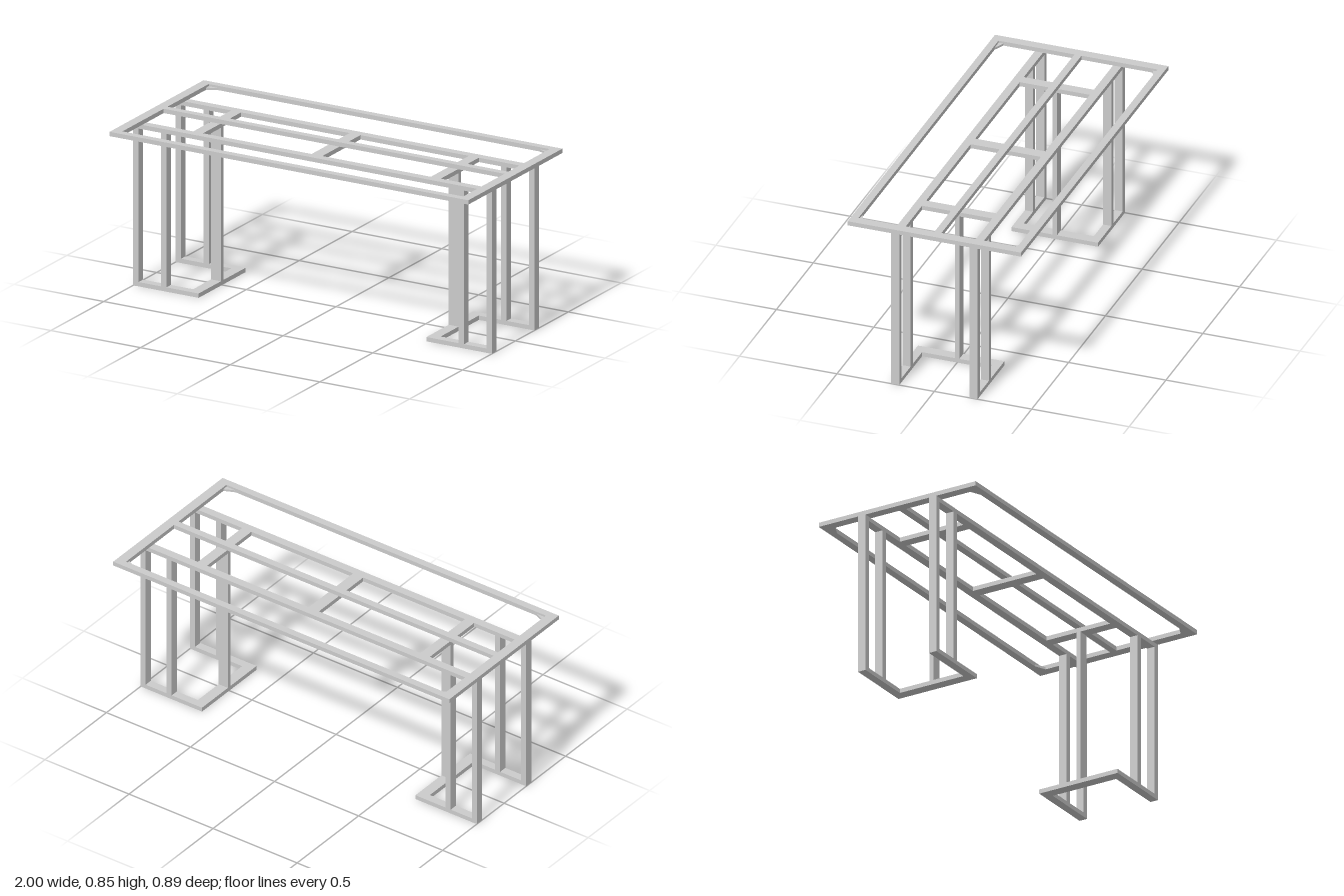
import * as THREE from 'three';

export function createModel() {
  const model = new THREE.Group();
  const material = new THREE.MeshStandardMaterial({ color: 0xcccccc, flatShading: true });

  // Bar given by its extents along each axis
  function bar(name, [x0, x1], [y0, y1], [z0, z1]) {
    const mesh = new THREE.Mesh(new THREE.BoxGeometry(x1 - x0, y1 - y0, z1 - z0), material);
    mesh.name = name;
    mesh.position.set((x0 + x1) / 2, (y0 + y1) / 2, (z0 + z1) / 2);
    model.add(mesh);
  }
  // Extents mirrored to the chosen side
  const side = (s, a, b) => (s > 0 ? [a, b] : [-b, -a]);

  const T = 0.022;               // bar thickness
  const top = [0.823, 0.845];    // table frame level
  const under = [0.801, 0.823];  // support rail level
  const foot = [0, T];

  // Middle rail of the table frame
  bar('middleRail', [-0.95, 0.95], top, [-0.018, 0.018]);
  // Central cross brace
  bar('centreBrace', [-0.03, 0.03], under, [-0.18, 0.18]);

  for (const s of [1, -1]) {
    // Outer table frame
    bar('frameEnd', side(s, 0.95, 1), top, [-0.445, 0.445]);
    bar('frameSide', [-0.95, 0.95], top, side(s, 0.408, 0.445));
    // Long support rail on the legs
    bar('supportRail', [-1, 1], under, side(s, 0.18, 0.222));

    // Inner brace, post and foot crossbar of each leg assembly
    bar('legBrace', side(s, 0.635, 0.69), under, [-0.18, 0.18]);
    bar('innerPost', side(s, 0.635, 0.69), [T, 0.801], [-0.011, 0.011]);
    bar('footCrossbar', side(s, 0.635, 0.69), foot, [-0.18, 0.18]);

    for (const t of [1, -1]) {
      const z = side(t, 0.18, 0.222);
      bar('footRail', side(s, 0.635, 1), foot, z);
      bar('outerLeg', side(s, 0.97, 1), [T, 0.801], z);
      bar('middleLeg', side(s, 0.815, 0.845), [T, 0.801], z);

      // Small gusset in each inner corner of the table frame
      const shape = new THREE.Shape([
        new THREE.Vector2(s * 0.95, -t * 0.408),
        new THREE.Vector2(s * 0.895, -t * 0.408),
        new THREE.Vector2(s * 0.95, -t * 0.383),
      ]);
      const geometry = new THREE.ExtrudeGeometry(shape, { depth: T / 2, bevelEnabled: false });
      geometry.rotateX(-Math.PI / 2);
      const gusset = new THREE.Mesh(geometry, material);
      gusset.name = 'cornerGusset';
      gusset.position.y = top[0];
      model.add(gusset);
    }
  }
  return model;
}
